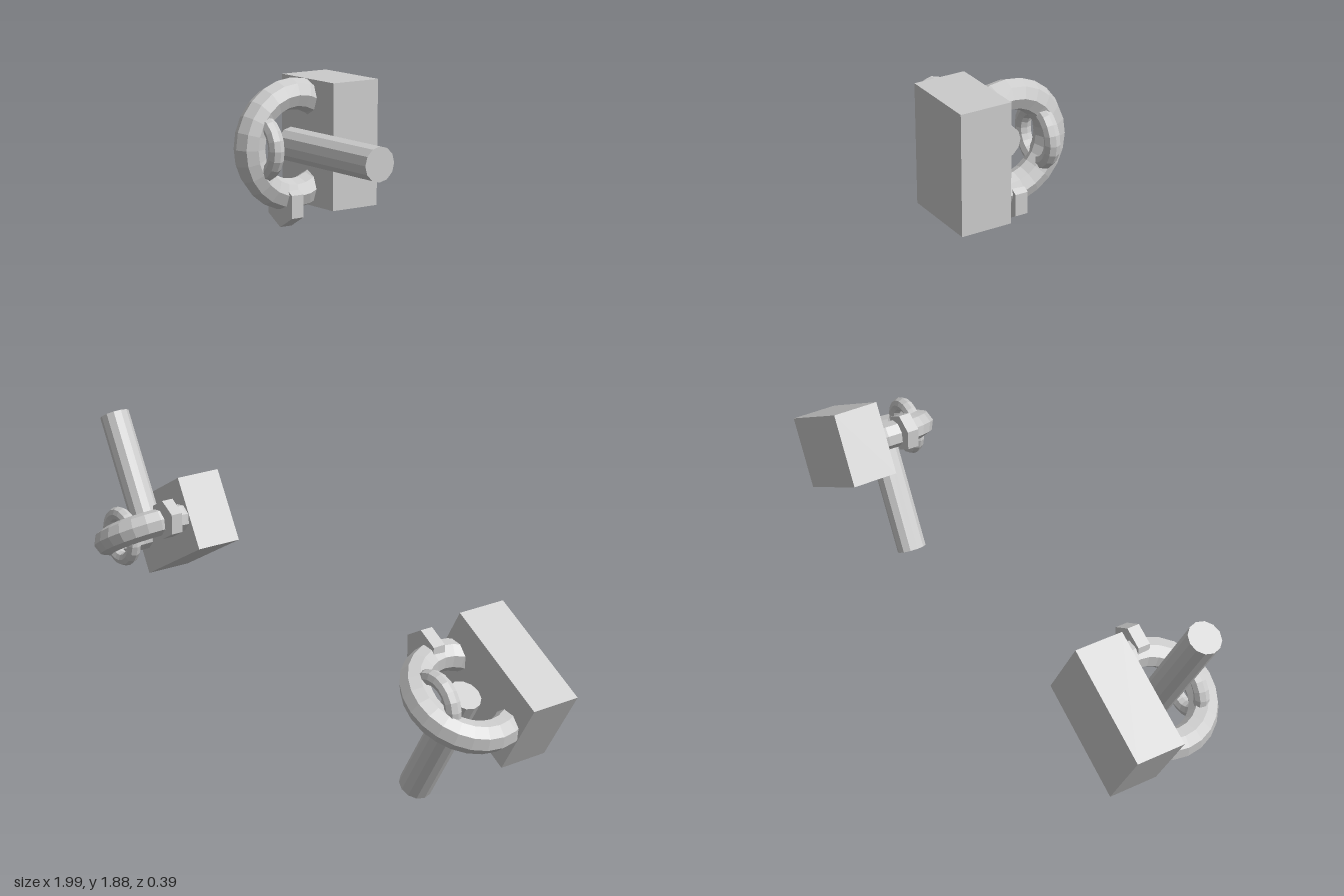
import * as THREE from 'three';

const material = new THREE.MeshStandardMaterial({ color: 0xcccccc, flatShading: true });

function part(parent, name, geometry, x, y, z) {
  const mesh = new THREE.Mesh(geometry, material);
  mesh.name = name;
  mesh.position.set(x, y, z);
  parent.add(mesh);
  return mesh;
}

// One knocker unit, centred on its large ring
function createUnit() {
  const unit = new THREE.Group();

  // Backing block that swallows the rear of the large ring
  part(unit, 'block', new THREE.BoxGeometry(0.235, 0.345, 0.15), 0, 0, -0.13);

  // Large upright ring
  const ring = new THREE.TorusGeometry(0.137, 0.043, 8, 24).rotateY(Math.PI / 2);
  part(unit, 'largeRing', ring, 0, 0, 0);

  // Small ring facing forward
  part(unit, 'smallRing', new THREE.TorusGeometry(0.073, 0.022, 8, 20), 0, 0, 0.1);

  // Rod reaching out sideways from the middle of the ring
  const rod = new THREE.CylinderGeometry(0.047, 0.047, 0.39, 12).rotateZ(Math.PI / 2);
  part(unit, 'rod', rod, 0.195, 0, 0);

  // Hexagonal nut on the end of the large ring, points up and down
  const nut = new THREE.CylinderGeometry(0.063, 0.063, 0.038, 6).rotateX(Math.PI / 2);
  part(unit, 'nut', nut, 0, -0.162, 0.017);

  return unit;
}

export function createModel() {
  const model = new THREE.Group();
  model.name = 'ringTriad';

  // Three units spaced evenly around a circle
  const radius = 0.894;
  ['topUnit', 'leftUnit', 'rightUnit'].forEach((name, i) => {
    const angle = (i * Math.PI * 2) / 3;
    const unit = createUnit();
    unit.name = name;
    unit.position.set(0.01 - radius * Math.sin(angle), 0.81 + radius * Math.cos(angle), 0.011);
    unit.rotation.z = angle;
    model.add(unit);
  });

  return model;
}
